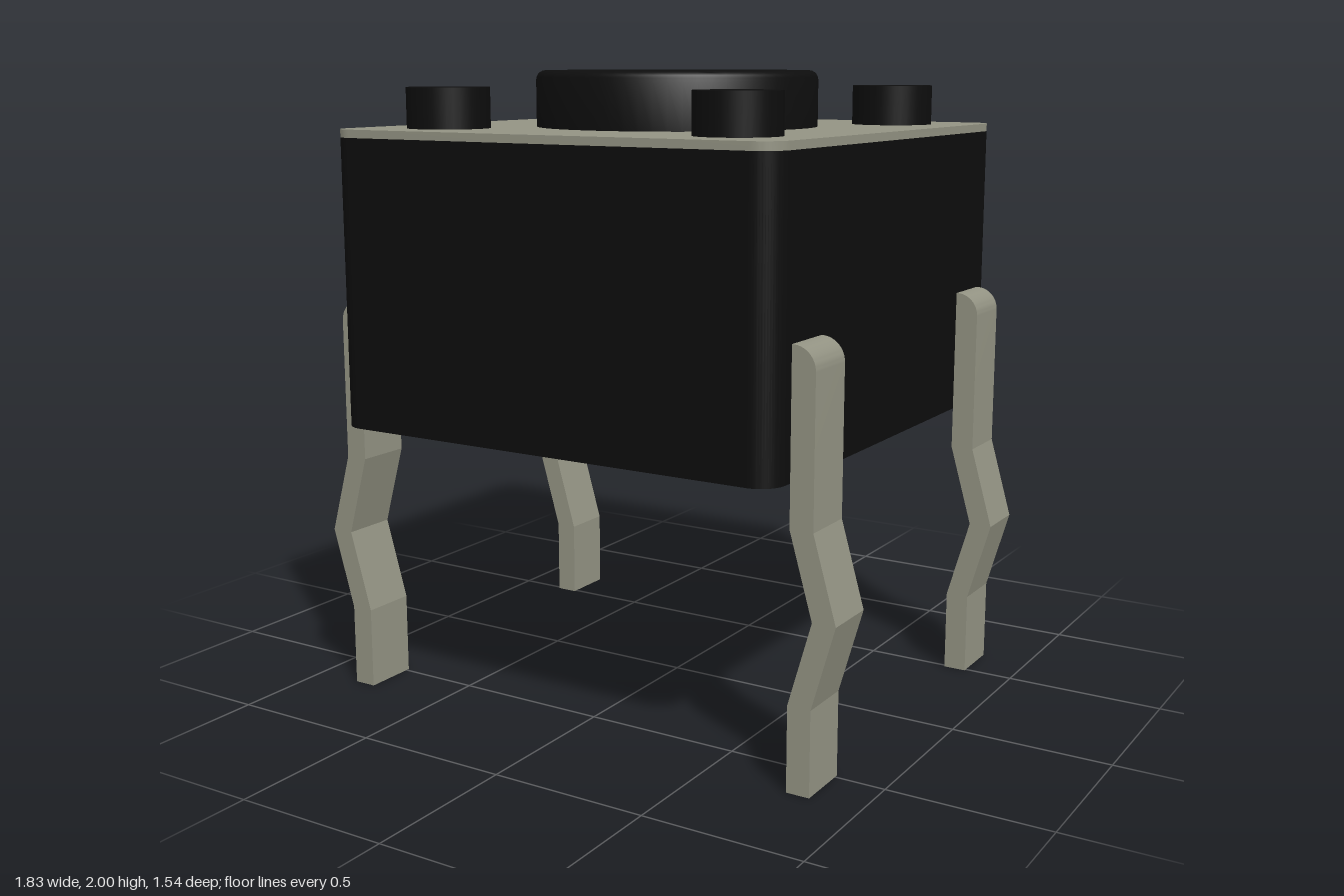
import * as THREE from 'three';
import { toCreasedNormals } from 'three/addons/utils/BufferGeometryUtils.js';

const black = new THREE.MeshStandardMaterial({ color: 0x0d0d0d });
black.name = 'black plastic';
const metal = new THREE.MeshStandardMaterial({ color: 0x939383 });
metal.name = 'grey metal';

// Square slab with rounded vertical corners, spanning y0 to y1
function roundedSlab(half, radius, y0, y1) {
  const s = new THREE.Shape();
  const c = half - radius;
  s.absarc(c, c, radius, 0, Math.PI / 2);
  s.absarc(-c, c, radius, Math.PI / 2, Math.PI);
  s.absarc(-c, -c, radius, Math.PI, Math.PI * 1.5);
  s.absarc(c, -c, radius, Math.PI * 1.5, Math.PI * 2);
  s.closePath();
  const g = new THREE.ExtrudeGeometry(s, { depth: y1 - y0, bevelEnabled: false, curveSegments: 8 });
  g.rotateX(-Math.PI / 2).translate(0, y0, 0);
  return toCreasedNormals(g, 0.5);
}

// Kinked pin with a rounded outer shoulder, extruded across its width
function legGeometry() {
  const inner = 0.77, outer = 0.843, kink = 0.073, top = 1.285, r = 0.07, width = 0.176;
  const s = new THREE.Shape();
  s.moveTo(inner, 0);
  s.lineTo(outer, 0);
  s.lineTo(outer, 0.26);
  s.lineTo(outer + kink, 0.515);
  s.lineTo(outer, 0.77);
  s.lineTo(outer, top - r);
  s.absarc(outer - r, top - r, r, 0, Math.PI / 2);
  s.lineTo(inner, top);
  s.lineTo(inner, 0.77);
  s.lineTo(inner + kink, 0.515);
  s.lineTo(inner, 0.26);
  s.closePath();
  const g = new THREE.ExtrudeGeometry(s, { depth: width, bevelEnabled: false, curveSegments: 8 });
  g.translate(0, 0, -width / 2);
  return toCreasedNormals(g, 0.24);
}

// Round button with a filleted upper rim
function buttonGeometry() {
  const R = 0.447, f = 0.03, top = 2, base = 1.81;
  const pts = [new THREE.Vector2(0, base), new THREE.Vector2(R, base)];
  for (let i = 0; i <= 5; i++) {
    const a = (i / 5) * Math.PI / 2;
    pts.push(new THREE.Vector2(R - f + f * Math.cos(a), top - f + f * Math.sin(a)));
  }
  pts.push(new THREE.Vector2(0, top));
  return toCreasedNormals(new THREE.LatheGeometry(pts, 64), 0.5);
}

export function createModel() {
  const model = new THREE.Group();
  model.name = 'pushSwitch';
  const add = (name, geometry, material) => {
    const mesh = new THREE.Mesh(geometry, material);
    mesh.name = name;
    model.add(mesh);
    return mesh;
  };

  add('body', roundedSlab(0.77, 0.08, 0.9, 1.8), black);
  add('coverPlate', roundedSlab(0.77, 0.08, 1.8, 1.825), metal);
  add('button', buttonGeometry(), black);

  // One rivet and one leg per corner
  const rivet = new THREE.CylinderGeometry(0.129, 0.129, 0.14, 40);
  const leg = legGeometry();
  for (const x of [-1, 1]) {
    for (const z of [-1, 1]) {
      add('rivet', rivet, black).position.set(x * 0.513, 1.88, z * 0.513);
      const pin = add('leg', leg, metal);
      pin.position.z = z * 0.577;
      if (x < 0) pin.rotation.y = Math.PI;
    }
  }
  return model;
}
